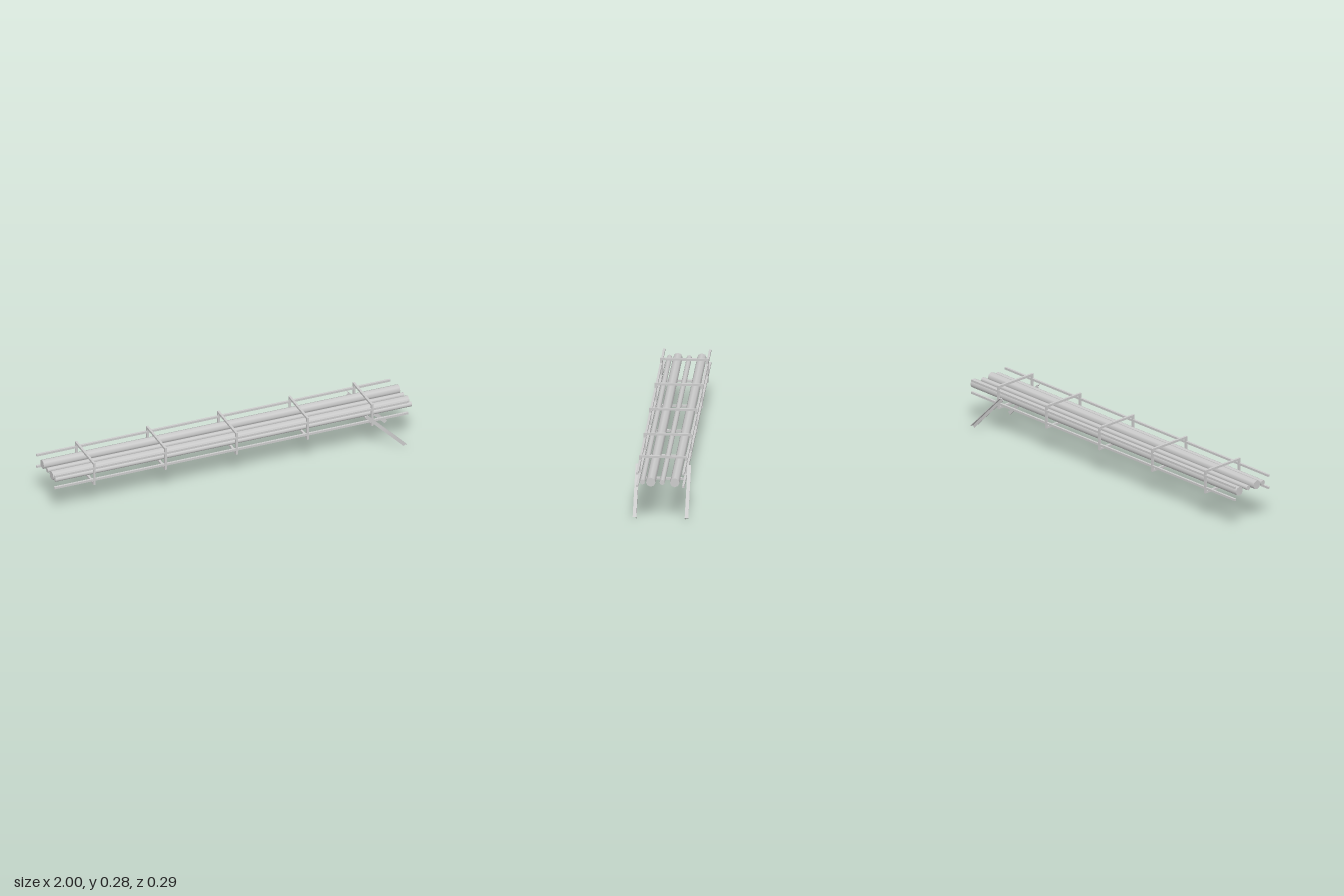
import * as THREE from 'three';

const material = new THREE.MeshStandardMaterial({ color: 0xcccccc });

function add(group, name, geometry, x, y, z) {
  const mesh = new THREE.Mesh(geometry, material);
  mesh.name = name;
  mesh.position.set(x, y, z);
  group.add(mesh);
  return mesh;
}

// Rectangle traced in x/y, used for the frame outline and its opening
function rectangle(path, w, h) {
  path.moveTo(-w, -h);
  path.lineTo(w, -h);
  path.lineTo(w, h);
  path.lineTo(-w, h);
  path.closePath();
  return path;
}

export function createModel() {
  const root = new THREE.Group();
  root.name = 'pipeRack';
  const bar = 0.0115;

  // Rectangular hoops along the rack
  const outline = rectangle(new THREE.Shape(), 0.124, 0.064);
  outline.holes.push(rectangle(new THREE.Path(), 0.124 - bar, 0.064 - bar));
  const frameGeometry = new THREE.ExtrudeGeometry(outline, { depth: bar, bevelEnabled: false });
  frameGeometry.translate(0, 0, -bar / 2).rotateY(Math.PI / 2);
  for (const x of [-0.777, -0.38, 0.016, 0.412, 0.77]) {
    add(root, 'frame', frameGeometry, x, 0.2205, 0);
  }

  // Four long side rails
  const railGeometry = new THREE.BoxGeometry(1.97, bar, bar);
  for (const side of [-1, 1]) {
    for (const y of [0.2535, 0.186]) {
      add(root, 'rail', railGeometry, -0.015, y, side * 0.1182);
    }
  }

  // Pipes: [z, radius]
  for (const [z, r] of [[0.09, 0.0135], [0.047, 0.0245], [-0.012, 0.0135], [-0.0765, 0.0245]]) {
    const pipe = new THREE.CylinderGeometry(r, r, 1.985, 8).rotateZ(Math.PI / 2);
    add(root, 'pipe', pipe, 0.0075, 0.218, z);
  }

  // Angle-iron legs sloping down towards +x; local x runs along the leg
  const length = 0.304, flange = 0.0185, thick = 0.003;
  for (const side of [-1, 1]) {
    const leg = new THREE.Group();
    leg.name = side > 0 ? 'leftLeg' : 'rightLeg';
    add(leg, 'legTopFlange', new THREE.BoxGeometry(length, thick, flange),
      length / 2, -thick / 2, side * flange / 2);
    add(leg, 'legSideFlange', new THREE.BoxGeometry(length, flange - thick, thick),
      length / 2, -(flange + thick) / 2, side * thick / 2);
    leg.position.set(0.741, 0.228, side * 0.1245);
    leg.rotation.z = -Math.PI / 4;
    root.add(leg);
  }

  return root;
}
